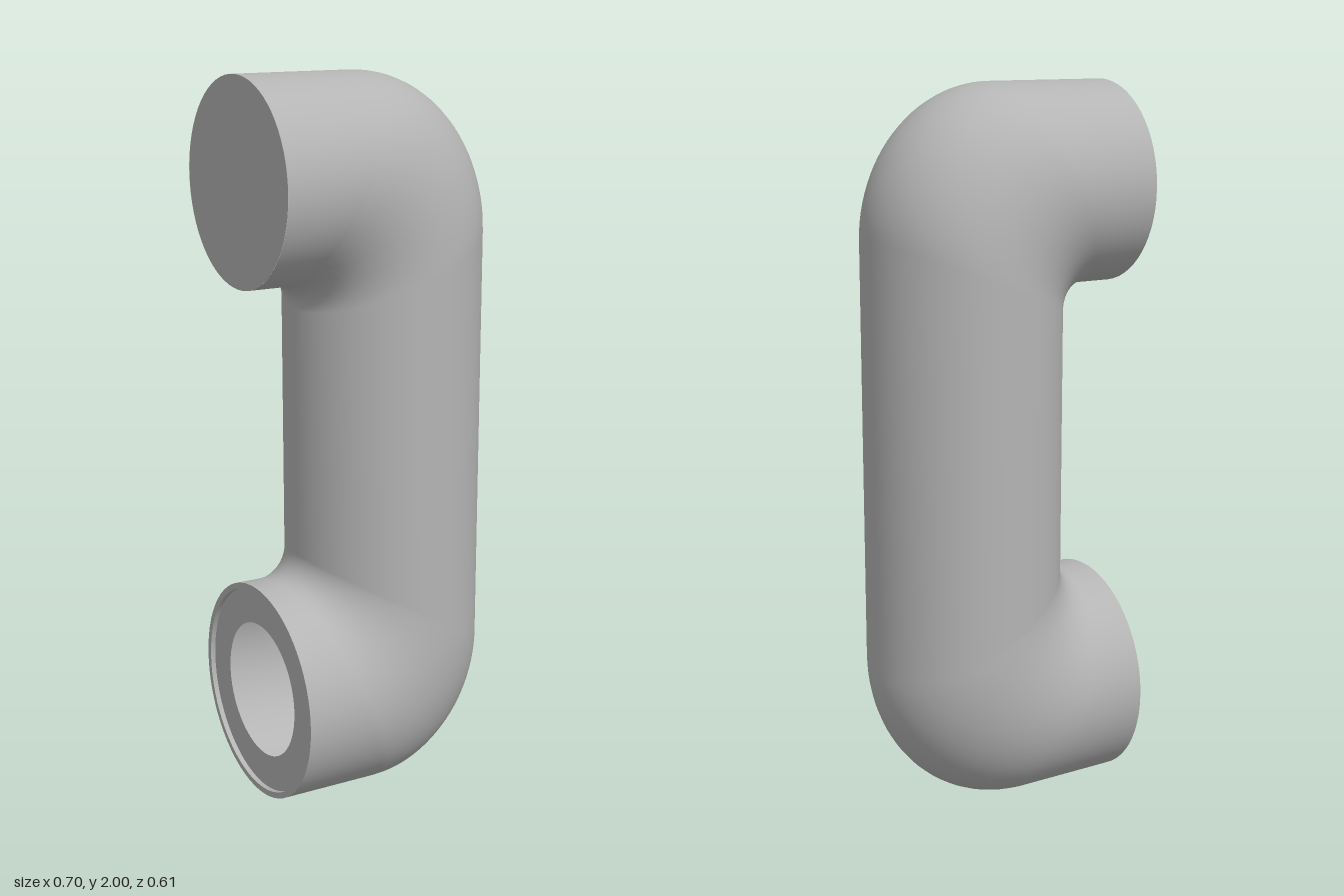
import * as THREE from 'three';
import { mergeGeometries } from 'three/addons/utils/BufferGeometryUtils.js';

const SIDES = 64;

// Closed elliptical cross-sections, each spanning from an inner to an outer profile point
function loft(sections) {
  const pos = [], index = [];
  for (const { inner, outer, w } of sections) {
    const cx = (inner[0] + outer[0]) / 2, cy = (inner[1] + outer[1]) / 2;
    for (let i = 0; i < SIDES; i++) {
      const a = (i / SIDES) * Math.PI * 2;
      pos.push(cx + Math.cos(a) * (outer[0] - cx), cy + Math.cos(a) * (outer[1] - cy), Math.sin(a) * w);
    }
  }
  for (let s = 0; s < sections.length - 1; s++) {
    for (let i = 0; i < SIDES; i++) {
      const a = s * SIDES + i, b = s * SIDES + (i + 1) % SIDES;
      index.push(a, b, a + SIDES, b, b + SIDES, a + SIDES);
    }
  }
  const g = new THREE.BufferGeometry();
  g.setAttribute('position', new THREE.Float32BufferAttribute(pos, 3));
  g.setIndex(index);
  g.computeVertexNormals();
  return g;
}

// One arm and its elbow, from the open end to the grip; dir is +1 for the upper arm
function elbow({ endX, endIn, endOut, edge, dir, wEnd }) {
  const out = [], steps = 24, wGrip = 0.288, xIn = -0.185, xOut = 0.35;
  const fillet = 0.07, ax = 0.36, ay = 0.4;
  const start = { inner: [endX, endIn], outer: [endX, endOut], w: wEnd };
  out.push(start);
  for (let i = 0; i <= steps; i++) {
    const t = (i / steps) * Math.PI / 2, s = Math.sin(t), c = Math.cos(t);
    out.push({
      inner: [xIn - fillet + fillet * s, endIn - dir * fillet * (1 - c)],
      outer: [xOut - ax + ax * s, edge - dir * ay * (1 - c)],
      w: THREE.MathUtils.lerp(wEnd, wGrip, 0.3 + 0.7 * i / steps),
    });
  }
  return out;
}

export function createModel() {
  const group = new THREE.Group();
  const grey = new THREE.MeshStandardMaterial({ color: 0xb4b4b4, side: THREE.DoubleSide });
  grey.name = 'grey plastic';
  const add = (name, geometry, x = 0, y = 0) => {
    const mesh = new THREE.Mesh(geometry, grey);
    mesh.name = name;
    mesh.position.set(x, y, 0);
    group.add(mesh);
  };

  // Hollow shell: upper arm, grip and lower arm in one sweep
  const upper = elbow({ endX: -0.355, endIn: 1.45, endOut: 2, edge: 2, dir: 1, wEnd: 0.276 });
  const lower = elbow({ endX: -0.32, endIn: 0.617, endOut: 0.007, edge: 0, dir: -1, wEnd: 0.305 });
  add('handleShell', loft([...upper, ...lower.reverse()]));

  // Flat cap closing the upper arm
  add('upperEndCap', new THREE.CircleGeometry(0.275, SIDES).rotateY(-Math.PI / 2), -0.355, 1.725);

  // Rim, step and recessed face of the lower arm, with a round opening
  const profile = [[0.305, 0], [0.288, 0], [0.288, 0.014], [0.19, 0.014]].map(p => new THREE.Vector2(...p));
  const rings = profile.slice(1).map((p, i) => new THREE.LatheGeometry([p, profile[i]], SIDES));
  add('lowerEndRing', mergeGeometries(rings).rotateZ(-Math.PI / 2), -0.32, 0.312);

  return group;
}
